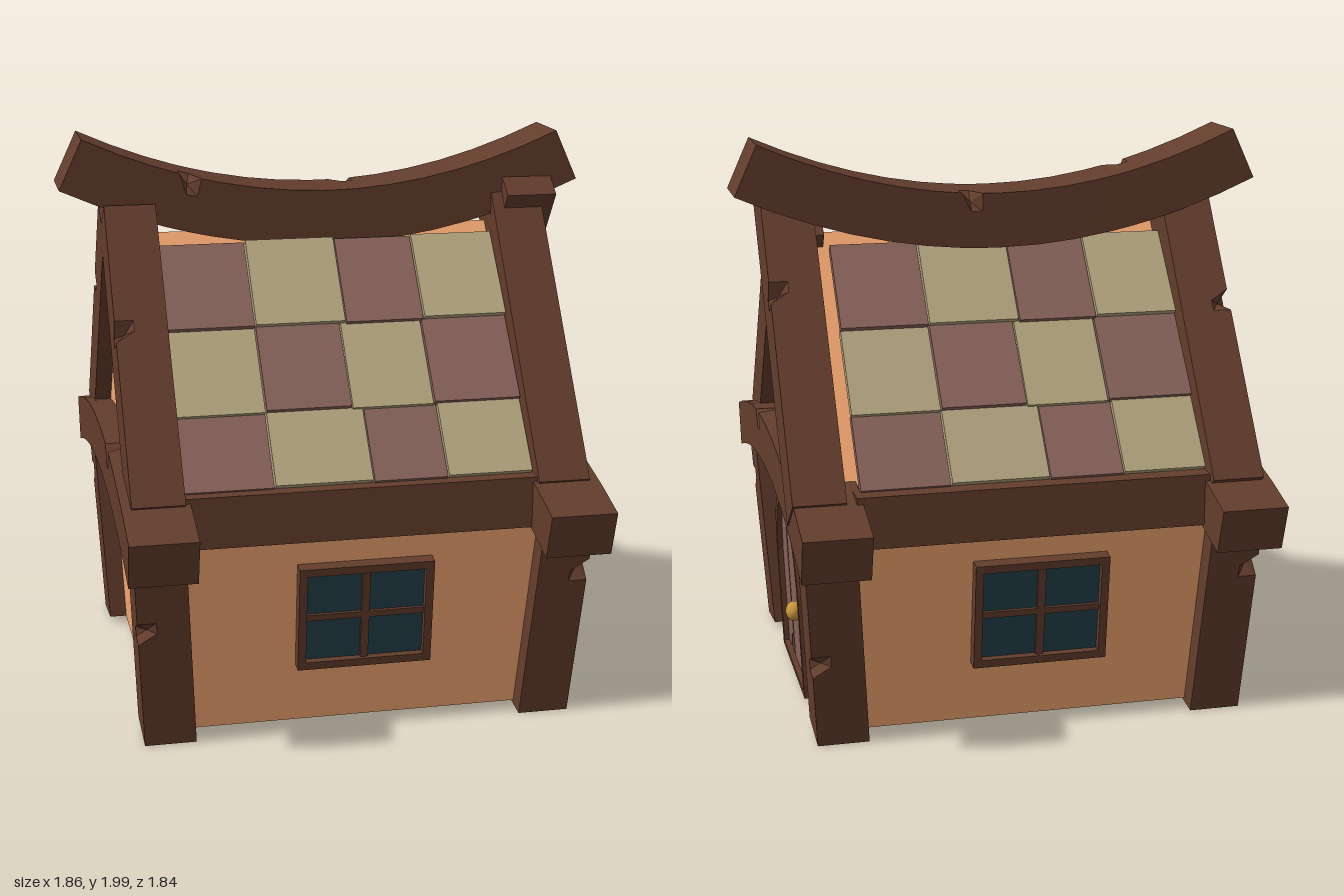
import * as THREE from 'three';

const mat = (color) => new THREE.MeshStandardMaterial({ color, flatShading: true });
const WOOD = mat(0x633d2c), WALL = mat(0xf4a870), MAUVE = mat(0x88635a);
const CREAM = mat(0xb3a57f), GLASS = mat(0x22424a);
const V = (x, y, z) => new THREE.Vector3(x, y, z);
const CORNERS = [[1, 1], [-1, 1], [-1, -1], [1, -1]];

function add(parent, name, geometry, material, x = 0, y = 0, z = 0) {
  const mesh = new THREE.Mesh(geometry, material);
  mesh.name = name;
  mesh.position.set(x, y, z);
  parent.add(mesh);
  return mesh;
}

// Square timber swept along path(t); chips are [t, corner] dents in its long edges
function beam(parent, name, path, side, w, h, segs = 1, chips = []) {
  const inset = 0.065, len = path(0).distanceTo(path(1)), d = 0.04 / len;
  let ts = Array.from({ length: segs + 1 }, (_, i) => i / segs);
  for (const [t] of chips) {
    ts = ts.filter((s) => Math.abs(s - t) > d);
    ts.push(t - d, t, t + d);
  }
  ts.sort((a, b) => a - b);
  const pos = [], n = 12;
  for (const t of ts) {
    const c = path(t);
    const T = path(t + 0.001).sub(path(t - 0.001)).normalize();
    const U = T.cross(side).normalize();
    const put = (a, b) => {
      const p = c.clone().addScaledVector(side, a).addScaledVector(U, b);
      pos.push(p.x, p.y, p.z);
    };
    CORNERS.forEach(([sx, sy], k) => {
      const a = sx * w / 2, b = sy * h / 2;
      const prev = CORNERS[(k + 3) % 4], next = CORNERS[(k + 1) % 4];
      const cut = chips.some(([ct, ck]) => ct === t && ck === k) ? inset * 0.52 : 0;
      put(a + (prev[0] - sx) / 2 * inset, b + (prev[1] - sy) / 2 * inset);
      put(a - sx * cut, b - sy * cut);
      put(a + (next[0] - sx) / 2 * inset, b + (next[1] - sy) / 2 * inset);
    });
  }
  const idx = [], last = (ts.length - 1) * n;
  for (let j = 0; j < ts.length - 1; j++) {
    for (let k = 0; k < n; k++) {
      const a = j * n + k, b = j * n + (k + 1) % n;
      idx.push(a, b, b + n, a, b + n, a + n);
    }
  }
  for (let k = 1; k < n - 1; k++) idx.push(0, k + 1, k, last, last + k, last + k + 1);
  const g = new THREE.BufferGeometry();
  g.setAttribute('position', new THREE.Float32BufferAttribute(pos, 3));
  g.setIndex(idx);
  const flat = g.toNonIndexed();
  flat.computeVertexNormals();
  return add(parent, name, flat, WOOD);
}
const line = (a, b) => (t) => a.clone().lerp(b, t);
const extrude = (shape, depth) =>
  new THREE.ExtrudeGeometry(shape, { depth, bevelEnabled: false, curveSegments: 20 });

// Arched outline between x0 and x1, optionally with a split at its foot
function archShape(r, spring, foot, x0 = -r, x1 = r, split = 0) {
  const s = new THREE.Shape();
  s.moveTo(x0, foot);
  if (split) {
    s.lineTo(split - 0.02, foot);
    s.lineTo(split + 0.02, foot + 0.09);
    s.lineTo(split + 0.012, foot);
  }
  s.lineTo(x1, foot);
  for (let i = 0; i <= 20; i++) {
    const x = x1 + (x0 - x1) * i / 20;
    s.lineTo(x, spring + Math.sqrt(Math.max(0, r * r - x * x)));
  }
  return s;
}

function squareWindow() {
  const g = new THREE.Group(), w = 0.47, h = 0.385, b = 0.028;
  g.name = 'squareWindow';
  add(g, 'windowGlass', new THREE.BoxGeometry(w - b, h - b, 0.03), GLASS);
  for (const s of [-1, 1]) {
    add(g, 'windowFrame', new THREE.BoxGeometry(w, b, 0.08), WOOD, 0, s * (h - b) / 2);
    add(g, 'windowFrame', new THREE.BoxGeometry(b, h, 0.08), WOOD, s * (w - b) / 2);
  }
  add(g, 'windowBar', new THREE.BoxGeometry(b, h - b, 0.055), WOOD);
  add(g, 'windowBar', new THREE.BoxGeometry(w - b, b * 0.8, 0.053), WOOD);
  return g;
}

function roundWindow() {
  const g = new THREE.Group(), r = 0.163;
  g.name = 'roundWindow';
  const ring = new THREE.Shape().absarc(0, 0, r, 0, Math.PI * 2);
  ring.holes.push(new THREE.Path().absarc(0, 0, r - 0.022, 0, Math.PI * 2, true));
  add(g, 'roundFrame', extrude(ring, 0.05), WOOD);
  add(g, 'roundGlass', extrude(new THREE.Shape().absarc(0, 0, r - 0.01, 0, Math.PI * 2), 0.015), GLASS);
  add(g, 'roundBar', new THREE.BoxGeometry(0.02, 2 * r - 0.03, 0.03), WOOD, 0, 0, 0.018);
  add(g, 'roundBar', new THREE.BoxGeometry(2 * r - 0.03, 0.02, 0.028), WOOD, 0, 0, 0.018);
  return g;
}

function door() {
  const g = new THREE.Group();
  g.name = 'door';
  const frame = archShape(0.285, 0.405, 0.015);
  frame.holes.push(archShape(0.255, 0.405, 0.035));
  add(g, 'doorFrame', extrude(frame, 0.07), WOOD, 0, 0, -0.02);
  add(g, 'doorBacking', extrude(archShape(0.26, 0.405, 0.03), 0.02), GLASS, 0, 0, -0.01);
  const planks = [[-0.256, -0.108, MAUVE, -0.17], [-0.092, 0.1, MAUVE, 0], [0.101, 0.256, CREAM, 0]];
  for (const [a, b, m, split] of planks)
    add(g, 'doorPlank', extrude(archShape(0.257, 0.405, 0.033, a, b, split), 0.03), m);
  const knob = add(g, 'doorKnob', new THREE.SphereGeometry(0.036, 20, 14),
    new THREE.MeshStandardMaterial({ color: 0xc8963c }), 0.145, 0.3, 0.05);
  knob.scale.z = 0.85;
  return g;
}

// One roof slope facing +z: three rows of chequered shingles
function roofSlope() {
  const g = new THREE.Group();
  g.name = 'roofSlope';
  const rows = [[0.89, 1.115], [1.105, 1.37], [1.36, 1.625]];
  const cols = [[-0.6, -0.29, 0.05, 0.31, 0.61], [-0.6, -0.29, 0.01, 0.3, 0.61], [-0.6, -0.29, 0.03, 0.31, 0.61]];
  rows.forEach(([y0, y1], r) => {
    for (let c = 0; c < 4; c++) {
      const x0 = cols[r][c], x1 = cols[r][c + 1], y = (y0 + y1) / 2;
      const tile = add(g, 'shingle', new THREE.BoxGeometry(x1 - x0 - 0.005, (y1 - y0) / 0.793, 0.035),
        (r + c) % 2 ? CREAM : MAUVE, (x0 + x1) / 2, y - 0.01 + 0.006 * (c % 2), 0.64 - (y - 0.9) / 1.302);
      tile.rotation.x = -0.7 - 0.012 * ((c + r) % 3);
    }
  });
  return g;
}

export function createModel() {
  const house = new THREE.Group();
  house.name = 'cottage';
  const X = V(1, 0, 0), Z = V(0, 0, 1);

  // Walls flare outwards towards the eaves
  const walls = new THREE.BoxGeometry(1.38, 0.83, 1.2);
  const p = walls.attributes.position;
  for (let i = 0; i < p.count; i++)
    if (p.getY(i) > 0) p.setXYZ(i, p.getX(i) * 1.05, p.getY(i), p.getZ(i) * 1.165);
  walls.computeVertexNormals();
  add(house, 'walls', walls, WALL, 0.004, 0.435, 0);

  // Gable body under the shingles
  const gable = new THREE.Shape([[0.61, 0.84], [-0.005, 1.65], [-0.62, 0.84]].map(([a, b]) => new THREE.Vector2(a, b)));
  add(house, 'gable', extrude(gable, 1.45), WALL, 0.73).rotation.y = -Math.PI / 2;

  // Leaning corner posts
  for (const sx of [-1, 1]) for (const sz of [-1, 1]) {
    const outer = sx > 0 ? (sz > 0 ? 3 : 0) : (sz > 0 ? 2 : 1);
    const x0 = sx > 0 ? 0.67 : -0.66, x1 = sx > 0 ? 0.718 : -0.698;
    beam(house, 'cornerPost', line(V(x0, 0.012, sz * 0.573), V(x1, 0.78, sz * 0.672)),
      X, 0.178, 0.195, 1, [[sx === sz ? 0.72 : sx > 0 ? 0.39 : 0.56, outer]]);
  }

  // Arched tie beams at each gable end
  for (const sx of [-1, 1])
    beam(house, 'archedBeam', (t) => {
      const z = (t - 0.5) * 1.79;
      return V(sx > 0 ? 0.713 : -0.697, 0.873 - 0.175 * z * z, z);
    }, X, 0.23, 0.168, 12, [[0.64, sx > 0 ? 0 : 1]]);

  // Crossed rafters: name, x, foot z, tip z, chips
  const rafters = [
    ['frontRafter', -0.69, 0.653, 0, [[0.57, 2]]],
    ['frontRafter', 0.703, 0.653, 0, []],
    ['backRafter', -0.69, -0.69, -0.05, [[0.62, 1]]],
    ['backRafter', 0.743, -0.66, 0.075, [[0.62, 0]]],
  ];
  for (const [name, x, z0, z1, chips] of rafters)
    beam(house, name, line(V(x, 0.82, z0), V(x, 0.82 + 1.36 * Math.abs(z1 - z0), z1)), X, 0.18, 0.19, 1, chips);

  // Eave beams
  for (const z of [0.603, -0.628])
    beam(house, 'eaveBeam', line(V(-0.62, 0.798, z), V(0.62, 0.798, z)), Z, 0.205, 0.18);

  // Sagging ridge beam
  beam(house, 'ridgeBeam', (t) => {
    const x = (t - 0.5) * 1.78;
    return V(x, 1.695 + 0.258 * x * x - 0.007 * x, -0.048 + 0.01 * x);
  }, Z, 0.235, 0.193, 14, [[0.22, 3], [0.56, 2]]);

  // Shingled slopes and side windows, front and back
  for (const s of [1, -1]) {
    const slope = roofSlope();
    slope.rotation.y = s > 0 ? 0 : Math.PI;
    slope.position.z = s > 0 ? 0 : -0.01;
    const half = new THREE.Group(), win = squareWindow();
    half.name = s > 0 ? 'frontWindow' : 'backWindow';
    win.position.set(0.018, 0.428, 0.655);
    win.rotation.x = 0.12;
    half.add(win);
    half.rotation.y = slope.rotation.y;
    house.add(slope, half);
  }

  // Door and round window on the left gable end
  const entrance = new THREE.Group(), d = door(), rw = roundWindow();
  entrance.name = 'entrance';
  d.position.z = 0.699;
  d.rotation.x = 0.042;
  rw.position.set(0.037, 1.235, 0.722);
  entrance.add(d, rw);
  entrance.rotation.y = Math.PI / 2;
  house.add(entrance);
  return house;
}
